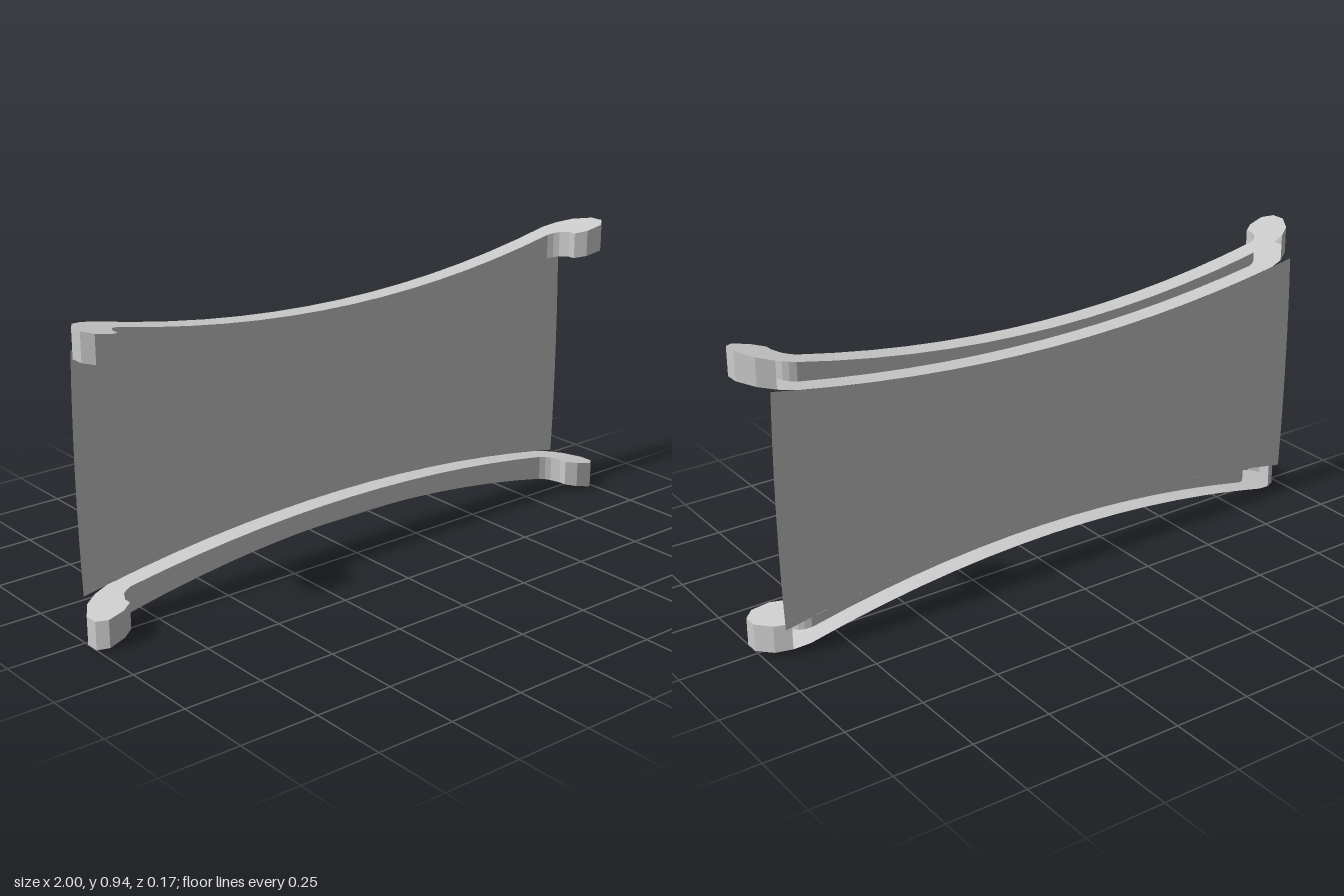
import * as THREE from 'three';

const MID = 0.47; // height of the horizontal mirror plane
const BACK = -0.085;
// Half-heights of the rails' curved edges, measured from the mirror plane
const outerEdge = (x) => 0.345 + 0.125 * x * x;
const innerEdge = (x) => 0.283 + 0.098 * x * x;

const material = new THREE.MeshStandardMaterial({
  color: 0xcccccc, flatShading: true, side: THREE.DoubleSide,
});

// Hook plan as pairs of points: [back x, back z, front x, front z]
const hook = [
  [0.97, 0.085, 0.915, 0.078],
  [1.0, 0.06, 0.88, 0.055],
  [1.0, 0.015, 0.88, 0.03],
  [0.965, -0.04, 0.865, 0.0],
  [0.92, -0.07, 0.85, -0.012],
  [0.87, BACK, 0.83, -0.02],
];

// Full plan: left hook, straight run, mirrored right hook
function railStations() {
  const straight = [];
  const n = 14;
  for (let i = 1; i < n; i++) {
    const t = 1 - (2 * i) / n;
    straight.push([0.87 * t, BACK, 0.83 * t, -0.02]);
  }
  const mirrored = hook.map(([bx, bz, fx, fz]) => [-bx, bz, -fx, fz]).reverse();
  return [...hook, ...straight, ...mirrored];
}

// Hollow rail, open at the back between the hooks
function makeRail(name, topY, bottomY) {
  const positions = [];
  const quad = (a, b, c, d) => positions.push(...a, ...b, ...c, ...a, ...c, ...d);
  const sections = railStations().map(([bx, bz, fx, fz]) => ({
    bt: [bx, topY(bx), bz],
    bb: [bx, bottomY(bx), bz],
    ft: [fx, topY(fx), fz],
    fb: [fx, bottomY(fx), fz],
  }));
  const last = sections.length - 1;
  const closed = hook.length - 2; // back wall segments on each hook
  for (let i = 0; i < last; i++) {
    const p = sections[i], q = sections[i + 1];
    quad(p.bt, q.bt, q.ft, p.ft); // top
    quad(p.fb, q.fb, q.bb, p.bb); // underside
    quad(p.ft, q.ft, q.fb, p.fb); // front wall
    if (i < closed || i >= last - closed) quad(p.bb, q.bb, q.bt, p.bt); // hook wall
  }
  // Tips of the hooks
  const s = sections[0], e = sections[last];
  quad(s.bt, s.ft, s.fb, s.bb);
  quad(e.ft, e.bt, e.bb, e.fb);

  const geometry = new THREE.BufferGeometry();
  geometry.setAttribute('position', new THREE.Float32BufferAttribute(positions, 3));
  geometry.computeVertexNormals();
  const mesh = new THREE.Mesh(geometry, material);
  mesh.name = name;
  return mesh;
}

// Thin sheet at the back, its edges following the rails
function makePanel() {
  const geometry = new THREE.PlaneGeometry(2, 2, 16, 8);
  const pos = geometry.attributes.position;
  for (let i = 0; i < pos.count; i++) {
    const v = pos.getY(i);
    const x = pos.getX(i) * (0.948 + 0.007 * (1 - v * v));
    pos.setXYZ(i, x, MID + v * innerEdge(x), BACK);
  }
  geometry.computeVertexNormals();
  const mesh = new THREE.Mesh(geometry, material);
  mesh.name = 'backPanel';
  return mesh;
}

export function createModel() {
  const group = new THREE.Group();
  group.name = 'curvedPanelWithRails';
  group.add(
    makeRail('upperRail', (x) => MID + outerEdge(x), (x) => MID + innerEdge(x)),
    makeRail('lowerRail', (x) => MID - innerEdge(x), (x) => MID - outerEdge(x)),
    makePanel(),
  );
  return group;
}
